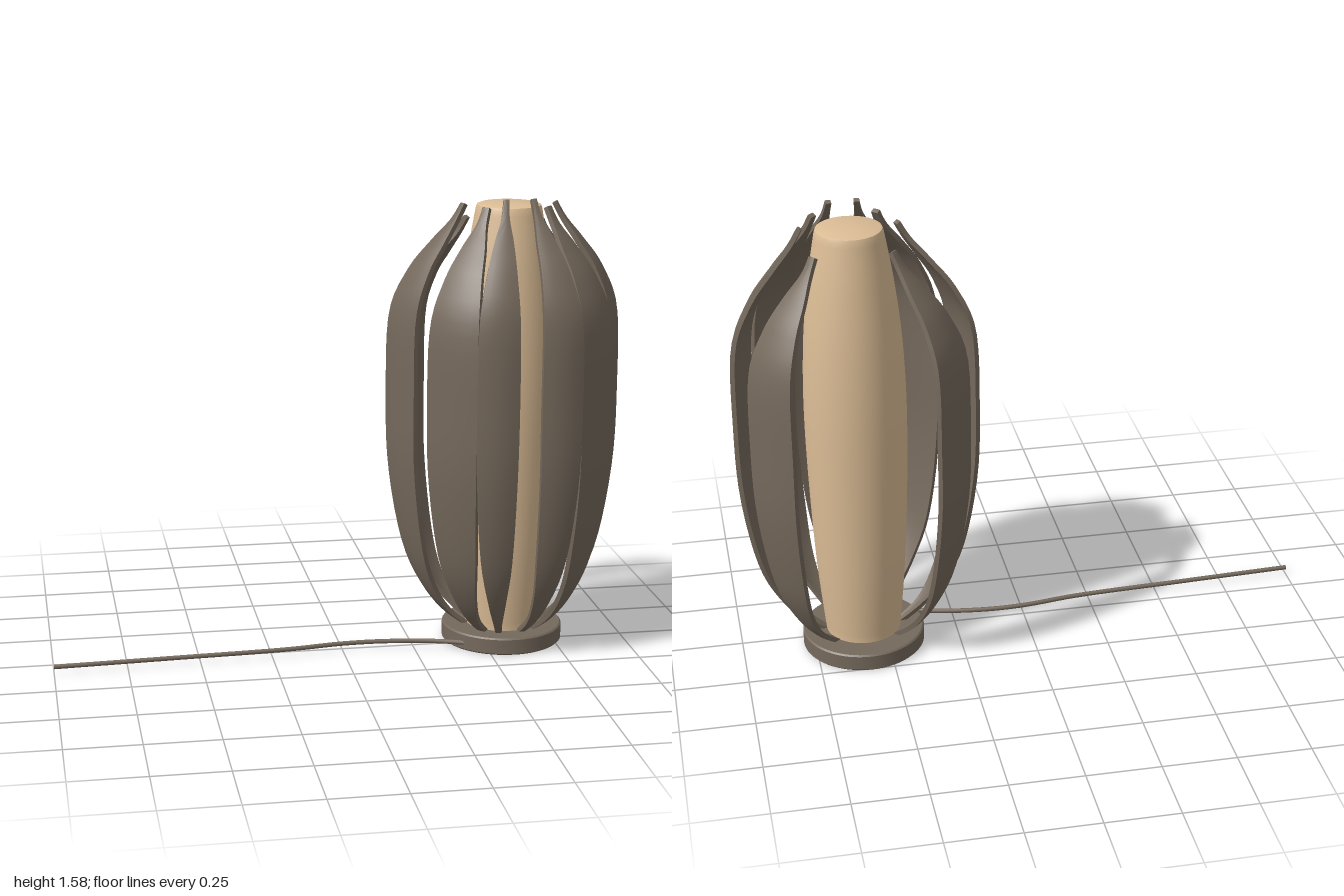
import * as THREE from 'three';
import { toCreasedNormals } from 'three/addons/utils/BufferGeometryUtils.js';

const brown = new THREE.MeshStandardMaterial({ color: 0x75695c });
brown.name = 'dark brown';
const cream = new THREE.MeshStandardMaterial({ color: 0xdcbd96 });
cream.name = 'warm cream';

// Petal rise: outer radius, height, width fraction
const rise = new THREE.CatmullRomCurve3([
  [0.13, 0.045, 0.14], [0.2, 0.1, 0.2], [0.275, 0.2, 0.42], [0.34, 0.37, 0.75],
  [0.382, 0.65, 0.95], [0.388, 0.9, 1], [0.38, 1.17, 0.95], [0.325, 1.32, 0.72],
  [0.255, 1.42, 0.46], [0.19, 1.505, 0.17], [0.165, 1.55, 0.13],
].map((p) => new THREE.Vector3(...p)));

// Curved plate lofted along the rise; angle places it, facing turns it
function petalGeometry(angle, facing, width, height) {
  const steps = 44, across = 6, thick = 0.016, bow = 0.012;
  const ring = [];
  for (let i = 0; i <= across; i++) ring.push([-1 + (2 * i) / across, 0]);
  for (let i = across; i >= 0; i--) ring.push([-1 + (2 * i) / across, -thick]);
  const n = ring.length, pos = [], index = [];
  for (let j = 0; j <= steps; j++) {
    const p = rise.getPoint(j / steps);
    const d = rise.getTangent(j / steps);
    const len = Math.hypot(d.x, d.y);
    for (const [u, depth] of ring) {
      const half = (width / 2) * p.z * u;
      const out = (depth * d.y) / len - bow * p.z * u * u;
      pos.push(
        Math.sin(angle) * p.x + Math.cos(facing) * half + Math.sin(facing) * out,
        (p.y * height) / 1.55 - (depth * d.x) / len,
        Math.cos(angle) * p.x - Math.sin(facing) * half + Math.cos(facing) * out,
      );
    }
  }
  for (let j = 0; j < steps; j++) {
    for (let i = 0; i < n; i++) {
      const a = j * n + i, b = j * n + ((i + 1) % n);
      index.push(a, b, b + n, a, b + n, a + n);
    }
  }
  const top = steps * n;
  for (let i = 1; i < n - 1; i++) {
    index.push(0, i + 1, i, top, top + i, top + i + 1);
  }
  const g = new THREE.BufferGeometry();
  g.setAttribute('position', new THREE.Float32BufferAttribute(pos, 3));
  g.setIndex(index);
  return toCreasedNormals(g, 0.7);
}

function lathe(points, crease) {
  const g = new THREE.LatheGeometry(points.map((p) => new THREE.Vector2(...p)), 64);
  return toCreasedNormals(g, crease);
}

export function createModel() {
  const model = new THREE.Group();
  const lamp = new THREE.Group();
  lamp.name = 'lamp';
  lamp.position.set(0.58, 0, -0.05);
  model.add(lamp);

  const add = (parent, name, geometry, material) => {
    const mesh = new THREE.Mesh(geometry, material);
    mesh.name = name;
    parent.add(mesh);
    return mesh;
  };

  // Round base, hollow below, with a centre hole
  add(lamp, 'base', lathe([
    [0.05, 0.035], [0.175, 0.035], [0.175, 0], [0.205, 0], [0.21, 0.005],
    [0.21, 0.055], [0.205, 0.06], [0.05, 0.06], [0.05, 0.035],
  ], 0.5), brown);

  // Barrel shaped inner shade with closed top
  const side = new THREE.SplineCurve([
    [0.128, 0.06], [0.15, 0.3], [0.165, 0.6], [0.171, 0.9], [0.162, 1.15],
    [0.14, 1.36], [0.112, 1.53],
  ].map((p) => new THREE.Vector2(...p))).getPoints(36).map((p) => [p.x, p.y]);
  add(lamp, 'shade', lathe(
    [[0, 0.058], [0.128, 0.058], ...side, [0.108, 1.54], [0.1, 1.543], [0, 1.543]], 0.6), cream);

  // Four mirrored pairs of petals: angle, facing (degrees from front), width, height
  const pairs = [
    ['front', 16.5, 6, 0.142, 1.58],
    ['frontSide', 41.5, 45, 0.2, 1.55],
    ['side', 86, 66, 0.168, 1.55],
    ['back', 126.5, 128, 0.2, 1.49],
  ];
  for (const [name, angle, facing, width, height] of pairs) {
    for (const s of [-1, 1]) {
      const label = s > 0 ? 'Left' : 'Right';
      const a = THREE.MathUtils.degToRad(s * angle);
      const f = THREE.MathUtils.degToRad(s * facing);
      add(lamp, `${name}Petal${label}`, petalGeometry(a, f, width, height), brown);
      // Peg that holds the petal under the base
      const peg = add(lamp, `${name}Peg${label}`,
        new THREE.CylinderGeometry(0.014, 0.014, 0.03, 16), brown);
      peg.position.set(Math.sin(a) * 0.13, 0.025, Math.cos(a) * 0.13);
    }
  }

  // Power cord lying beside the base
  const path = new THREE.CatmullRomCurve3([
    [0.44, 0.085], [0.406, 0.07], [0.3, 0.037], [0.14, 0.015], [0, 0.016],
    [-0.2, 0.043], [-0.6, 0.065], [-1, 0.086],
  ].map(([x, z]) => new THREE.Vector3(x, 0.025, z)));
  add(model, 'cord', new THREE.TubeGeometry(path, 80, 0.008, 10), brown);
  const end = add(model, 'cordEnd', new THREE.CircleGeometry(0.008, 10), brown);
  end.position.set(-1, 0.025, 0.086);
  end.rotation.y = -Math.PI / 2;

  return model;
}
